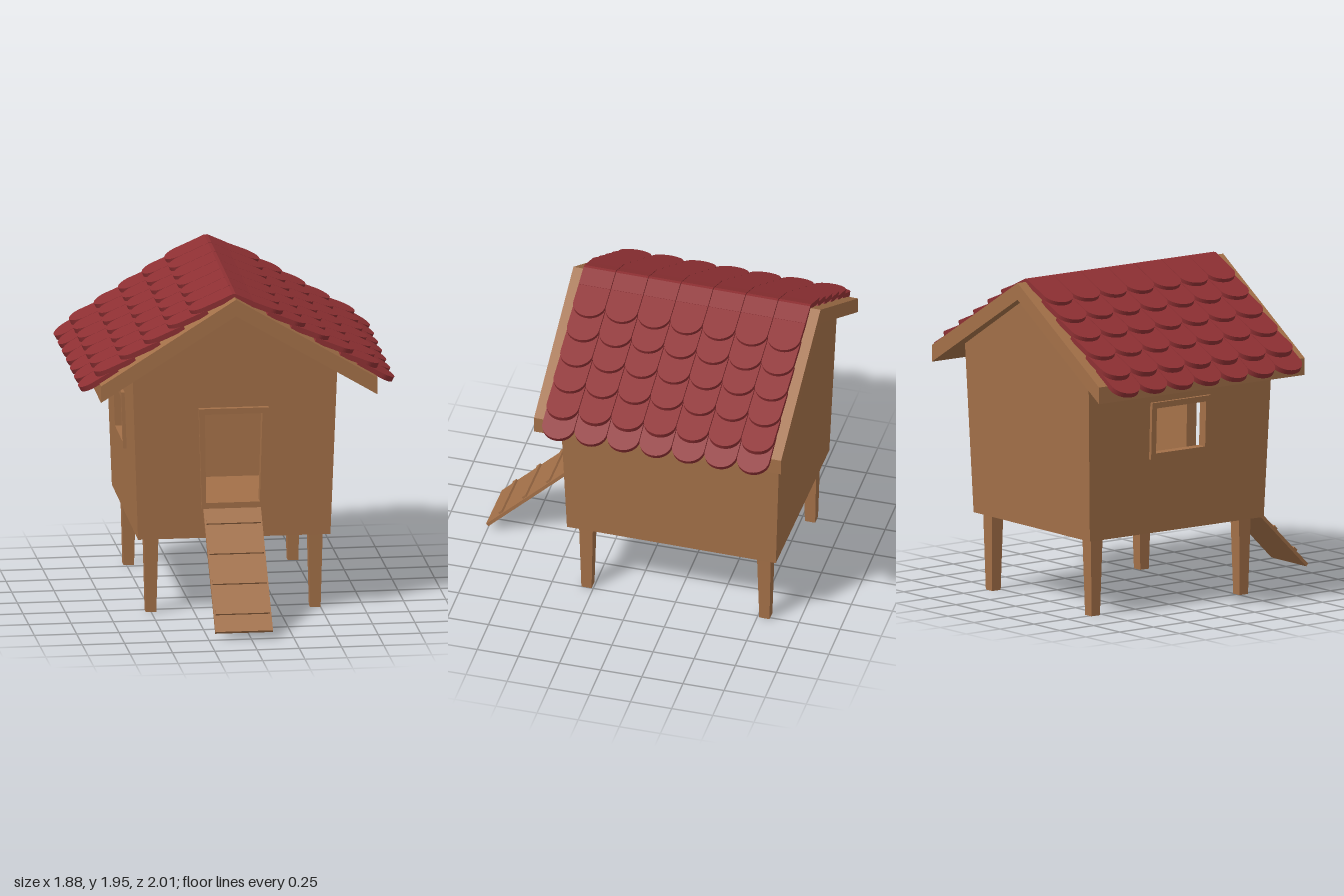
import * as THREE from 'three';

const wood = new THREE.MeshStandardMaterial({ color: 0xa37048 });
wood.name = 'wood';
const clay = new THREE.MeshStandardMaterial({ color: 0x8e3033 });
clay.name = 'red roof tile';

const toShape = (pts) => new THREE.Shape(pts.map(([x, y]) => new THREE.Vector2(x, y)));

function add(parent, name, geometry, material, x = 0, y = 0, z = 0) {
  const mesh = new THREE.Mesh(geometry, material);
  mesh.name = name;
  mesh.position.set(x, y, z);
  parent.add(mesh);
  return mesh;
}

// Flat panel leaning outward with height; `dist` is its outer face distance at the floor
const FLOOR = 0.46, LEAN = 0.036;
function panel(parent, name, outline, hole, dist, thickness, angle) {
  const shape = toShape(outline);
  if (hole) shape.holes.push(toShape(hole));
  const geo = new THREE.ExtrudeGeometry(shape, { depth: thickness, bevelEnabled: false });
  const p = geo.attributes.position;
  for (let i = 0; i < p.count; i++) {
    p.setZ(i, p.getZ(i) + dist - thickness + (p.getY(i) - FLOOR) * LEAN);
  }
  geo.rotateY(angle);
  geo.computeVertexNormals();
  return add(parent, name, geo, wood);
}

// Hollow house body with doorway and side window
function buildBody() {
  const body = new THREE.Group();
  body.name = 'body';
  body.position.set(-0.015, 0, -0.247);
  const W = 0.568, D = 0.637, T = 0.04, EAVE = 1.5;
  const grow = (EAVE - FLOOR) * LEAN;
  const gable = [[-W, FLOOR], [W, FLOOR], [W + grow, EAVE], [0, 1.87], [-W - grow, EAVE]];
  const side = [[-D, FLOOR], [D, FLOOR], [D + grow, EAVE], [-D - grow, EAVE]];
  const door = [[-0.17, 0.68], [0.147, 0.68], [0.16, 1.22], [-0.18, 1.22]];
  const doorFrame = [[-0.195, 0.645], [0.175, 0.645], [0.197, 1.255], [-0.215, 1.255]];
  const win = [[-0.18, 0.94], [0.18, 0.94], [0.18, 1.21], [-0.18, 1.21]];
  const winFrame = [[-0.215, 0.905], [0.215, 0.905], [0.215, 1.245], [-0.215, 1.245]];

  panel(body, 'frontWall', gable, door, D, T, 0);
  panel(body, 'backWall', gable, null, D, T, Math.PI);
  panel(body, 'leftWall', side, null, W, T, Math.PI / 2);
  panel(body, 'rightWall', side, win, W, T, -Math.PI / 2);
  panel(body, 'doorFrame', doorFrame, door, D + 0.03, 0.04, 0);
  panel(body, 'windowFrame', winFrame, win, W + 0.02, 0.03, -Math.PI / 2);
  add(body, 'floor', new THREE.BoxGeometry(2 * (W - T), 0.04, 2 * (D - T)), wood, 0, FLOOR + 0.02, 0);
  return body;
}

// Tapered square legs
function buildLegs() {
  const legs = new THREE.Group();
  legs.name = 'legs';
  const geo = new THREE.CylinderGeometry(0.06, 0.044, 0.47, 4).toNonIndexed();
  geo.rotateY(Math.PI / 4);
  geo.computeVertexNormals();
  for (const x of [-0.497, 0.473]) {
    for (const z of [0.285, -0.8]) add(legs, 'leg', geo, wood, x, 0.235, z);
  }
  return legs;
}

// Sloping entrance ramp with four cleats
function buildRamp() {
  const ramp = new THREE.Group();
  ramp.name = 'ramp';
  ramp.position.set(-0.03, 0.343, 0.695);
  ramp.rotation.x = Math.PI / 4;
  add(ramp, 'rampBoard', new THREE.BoxGeometry(0.34, 0.02, 0.85), wood);
  const cleat = new THREE.BoxGeometry(0.32, 0.014, 0.03);
  for (let i = 0; i < 4; i++) add(ramp, 'rampCleat', cleat, wood, 0, 0.016, -0.318 + i * 0.205);
  return ramp;
}

// Wooden roof slab with rows of round-ended tiles and a ridge of caps
function buildRoof() {
  const roof = new THREE.Group();
  roof.name = 'roof';
  const APEX = -0.02, TOP = 1.93, PITCH = 0.198, COLS = 7, MID = -0.24;

  const slab = new THREE.ExtrudeGeometry(toShape([
    [-0.817, 1.33], [APEX, TOP - 0.1], [0.817, 1.33], [0.817, 1.43], [APEX, TOP], [-0.817, 1.43],
  ]), { depth: 1.507, bevelEnabled: false });
  add(roof, 'roofBoards', slab, wood, 0, 0, -0.992);

  // Tile: straight sides, elliptical lower end, lying flat with +x running downhill
  const RUN = 0.22, LENGTH = 0.25, BULGE = 0.085, half = PITCH / 2 - 0.002;
  const outline = new THREE.Shape();
  outline.moveTo(0, -half);
  outline.lineTo(LENGTH - BULGE, -half);
  outline.absellipse(LENGTH - BULGE, 0, BULGE, half, -Math.PI / 2, Math.PI / 2, false);
  outline.lineTo(0, half);
  const tile = new THREE.ExtrudeGeometry(outline, { depth: 0.032, bevelEnabled: false, curveSegments: 14 });
  tile.rotateX(-Math.PI / 2);

  const tips = [0.92, 0.82, 0.673, 0.53, 0.39, 0.257];
  for (const s of [1, -1]) {
    const slope = new THREE.Group();
    slope.name = s > 0 ? 'leftTiles' : 'rightTiles';
    slope.rotation.y = s > 0 ? 0 : Math.PI;
    const height = (x) => TOP - (x - s * APEX) * 0.5 / (0.817 - s * APEX);
    tips.forEach((tip, row) => {
      const x0 = tip - RUN;
      const y0 = height(x0) - 0.01;
      const y1 = height(tip) + (row === 0 ? 0 : 0.033);
      for (let c = 0; c < COLS; c++) {
        const z = MID + (c - (COLS - 1) / 2) * PITCH;
        const mesh = add(slope, 'roofTile', tile, clay, x0, y0, s * z);
        mesh.rotation.z = Math.atan2(y1 - y0, RUN);
      }
    });
    roof.add(slope);
  }

  // Folded ridge caps
  const cap = new THREE.ExtrudeGeometry(toShape([
    [-0.115, 1.873], [0, 1.918], [0.115, 1.873], [0.115, 1.9], [0.01, 1.948], [-0.01, 1.948], [-0.115, 1.9],
  ]), { depth: PITCH - 0.004, bevelEnabled: false });
  for (let c = 0; c < COLS; c++) {
    add(roof, 'ridgeCap', cap, clay, APEX - 0.003, 0, MID + (c - COLS / 2) * PITCH + 0.002);
  }
  return roof;
}

export function createModel() {
  const model = new THREE.Group();
  model.name = 'henHouse';
  const house = new THREE.Group();
  house.name = 'house';
  house.rotation.y = -0.0125; // stands very slightly askew
  house.add(buildBody(), buildLegs(), buildRamp(), buildRoof());
  model.add(house);
  return model;
}
